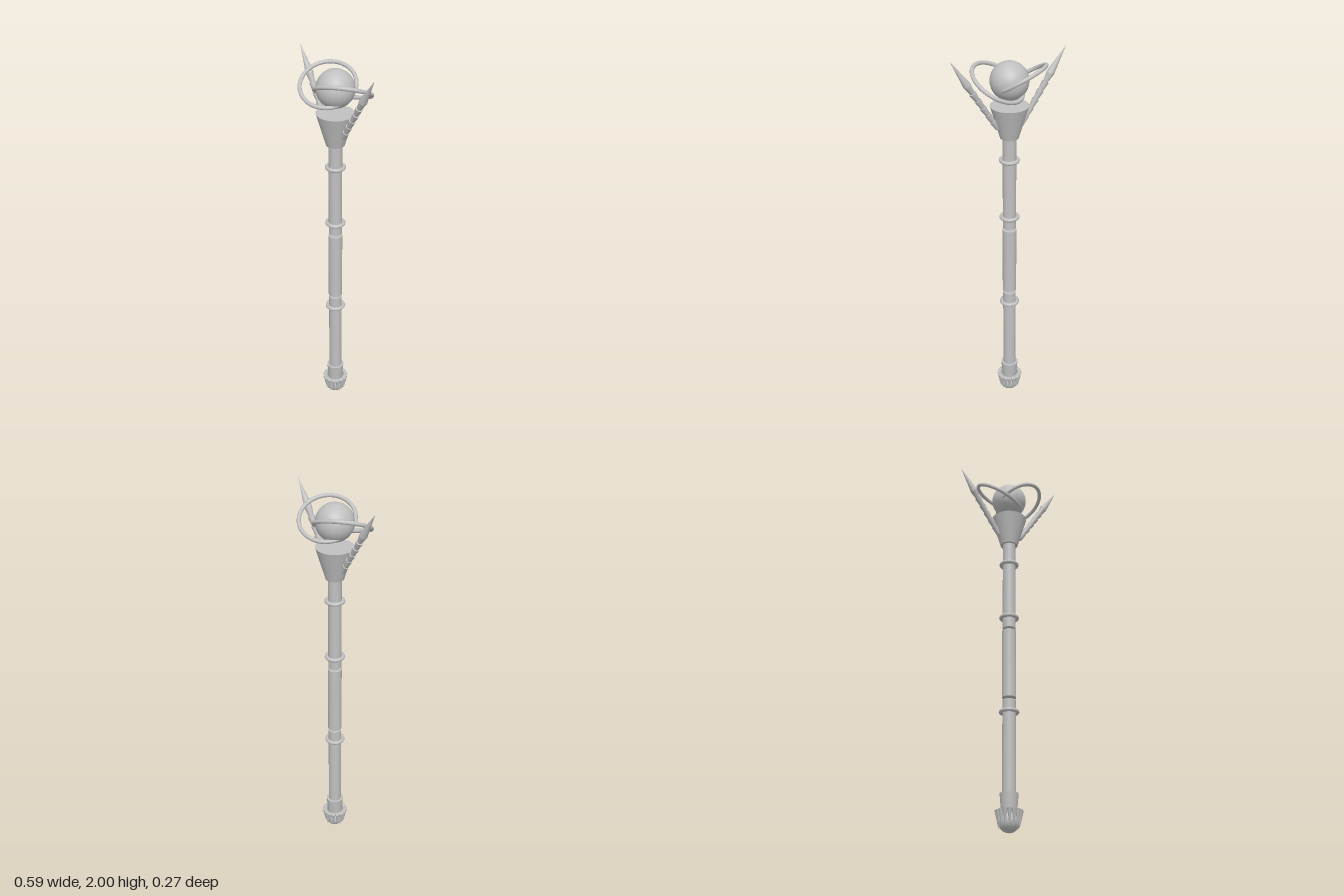
import * as THREE from 'three';

const metal = new THREE.MeshStandardMaterial({ color: 0xc0c0c0 });
metal.name = 'grey metal';

const UP = new THREE.Vector3(0, 1, 0);

function add(parent, name, geometry, x = 0, y = 0, z = 0) {
  const mesh = new THREE.Mesh(geometry, metal);
  mesh.name = name;
  mesh.position.set(x, y, z);
  parent.add(mesh);
  return mesh;
}

// Upright frustum between two heights
function column(parent, name, y0, y1, r0, r1 = r0) {
  return add(parent, name, new THREE.CylinderGeometry(r1, r0, y1 - y0, 32), 0, (y0 + y1) / 2);
}

// Horn built from a chain of flared links and a long point, along local +y
function horn(side) {
  const group = new THREE.Group();
  group.name = side > 0 ? 'leftHorn' : 'rightHorn';
  const start = new THREE.Vector3(side * 0.062, 1.635, 0);
  const tip = new THREE.Vector3(side * 0.293, 2, 0);
  const axis = tip.clone().sub(start);
  const length = axis.length();
  group.position.copy(start);
  group.quaternion.setFromUnitVectors(UP, axis.normalize());
  const links = 6, pitch = 0.047;
  for (let i = 0; i < links; i++) {
    const top = 0.016 + 0.0006 * i;
    add(group, 'hornLink', new THREE.CylinderGeometry(top, 0.012, pitch, 16), 0, (i + 0.5) * pitch);
  }
  const pointLength = length - links * pitch;
  add(group, 'hornPoint', new THREE.ConeGeometry(0.02, pointLength, 16), 0, length - pointLength / 2);
  return group;
}

export function createModel() {
  const model = new THREE.Group();
  model.name = 'scepter';

  // Shaft in three lengths with narrow open gaps
  column(model, 'lowerShaft', 0.15, 0.67, 0.034);
  column(model, 'grip', 0.683, 1.058, 0.036);
  column(model, 'upperShaft', 1.07, 1.58, 0.034);

  // Bands round the shaft
  for (const y of [0.607, 1.133, 1.454]) {
    add(model, 'shaftBand', new THREE.TorusGeometry(0.042, 0.01, 12, 40), 0, y).rotation.x = Math.PI / 2;
  }

  // Flared head and floating orb
  column(model, 'headCup', 1.576, 1.743, 0.046, 0.095);
  add(model, 'orb', new THREE.SphereGeometry(0.094, 40, 28), 0, 1.867);

  // Two tilted orbit rings, half a turn apart, and the pair of horns
  for (const side of [1, -1]) {
    const ring = add(model, 'orbitRing', new THREE.TorusGeometry(0.135, 0.01, 12, 64), side * 0.06, 1.867);
    const normal = new THREE.Vector3(-side * 0.35, 0.856, -side * 0.38).normalize();
    ring.quaternion.setFromUnitVectors(new THREE.Vector3(0, 0, 1), normal);
    model.add(horn(side));
  }

  // Foot: collar, rounded pommel and a crown of downward spikes
  column(model, 'footCollar', 0.09, 0.19, 0.038, 0.046);
  add(model, 'pommel', new THREE.SphereGeometry(0.054, 32, 20), 0, 0.054);
  const spikes = 16;
  for (let i = 0; i < spikes; i++) {
    const a = (i / spikes) * Math.PI * 2;
    const root = new THREE.Vector3(Math.cos(a) * 0.058, 0.107, Math.sin(a) * 0.058);
    const tip = new THREE.Vector3(Math.cos(a) * 0.051, 0.02, Math.sin(a) * 0.051);
    const mid = root.clone().add(tip).multiplyScalar(0.5);
    const spike = add(model, 'footSpike', new THREE.ConeGeometry(0.012, root.distanceTo(tip), 12), mid.x, mid.y, mid.z);
    spike.quaternion.setFromUnitVectors(UP, tip.sub(root).normalize());
  }

  return model;
}
